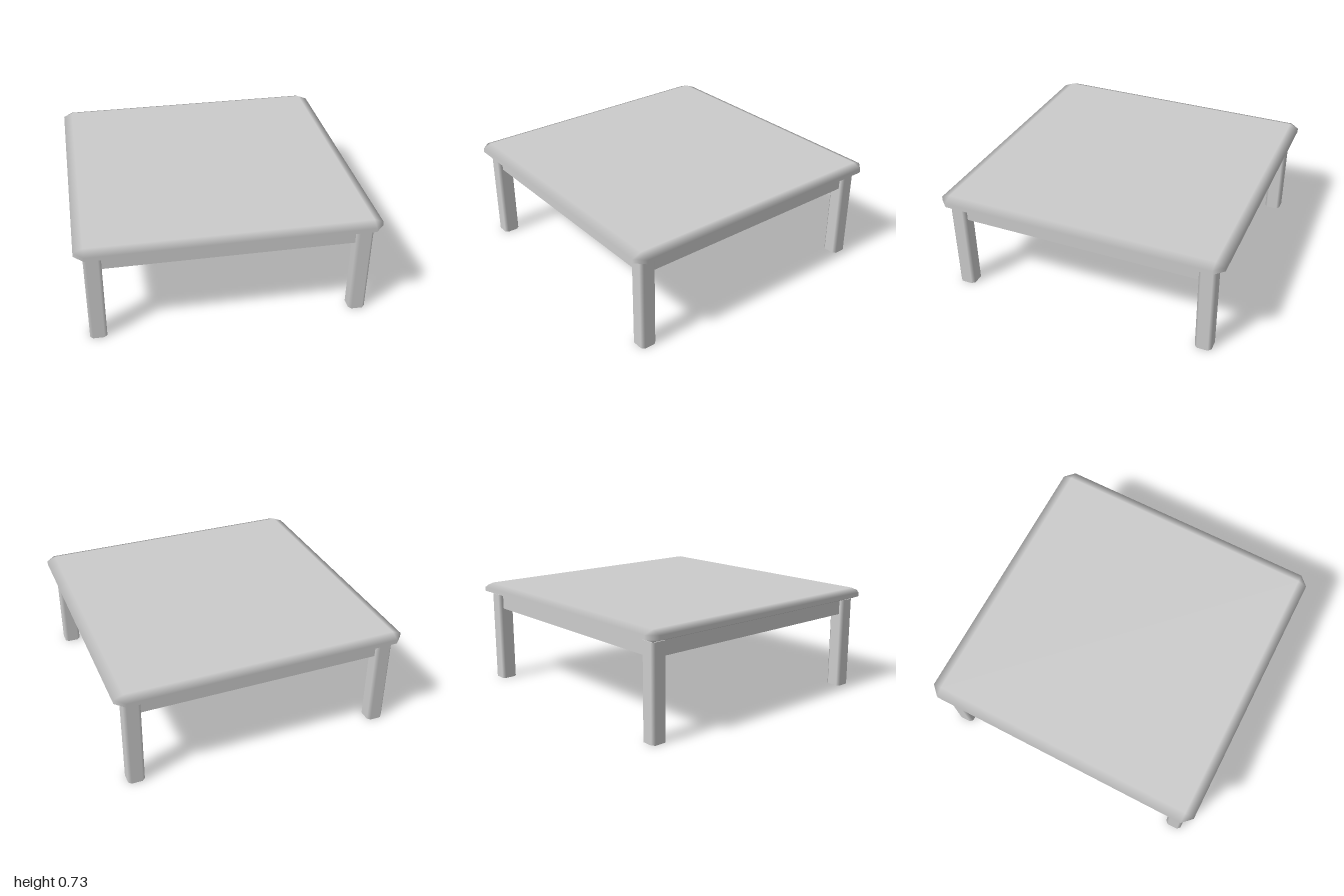
import * as THREE from 'three';
import { ConvexGeometry } from 'three/addons/geometries/ConvexGeometry.js';

// Box with one-step bevels: main faces stay flat, bevels blend between them.
// b is the bevel across x and z, by the bevel along y (0 = sharp ends).
function beveledBox(w, h, d, b, by) {
  const half = new THREE.Vector3(w / 2, h / 2, d / 2);
  const points = [];
  for (const sx of [-1, 1]) for (const sy of [-1, 1]) for (const sz of [-1, 1]) {
    const add = (x, y, z) => points.push(new THREE.Vector3(sx * x, sy * y, sz * z));
    add(half.x, half.y - by, half.z - b);
    add(half.x - b, half.y - by, half.z);
    if (by > 0) add(half.x - b, half.y, half.z - b);
  }
  const geo = new ConvexGeometry(points);
  const pos = geo.attributes.position, nor = geo.attributes.normal;
  const p = new THREE.Vector3(), n = new THREE.Vector3();
  for (let i = 0; i < pos.count; i++) {
    n.fromBufferAttribute(nor, i);
    if (Math.max(Math.abs(n.x), Math.abs(n.y), Math.abs(n.z)) > 0.999) continue;
    p.fromBufferAttribute(pos, i);
    const axis = ['x', 'z', 'y'].find(a => Math.abs(Math.abs(p[a]) - half[a]) < 1e-5);
    n.set(0, 0, 0)[axis] = Math.sign(p[axis]);
    nor.setXYZ(i, n.x, n.y, n.z);
  }
  return geo;
}

export function createModel() {
  const group = new THREE.Group();
  const material = new THREE.MeshStandardMaterial({ color: 0xcccccc });
  const thin = new THREE.MeshStandardMaterial({ color: 0xcccccc, side: THREE.DoubleSide });
  const add = (name, geometry, mat, x, y, z) => {
    const mesh = new THREE.Mesh(geometry, mat);
    mesh.name = name;
    mesh.position.set(x, y, z);
    group.add(mesh);
    return mesh;
  };
  const underside = 0.645, topY = 0.725;

  // Tabletop
  add('tabletop', beveledBox(2, topY - underside, 2, 0.065, 0.026), material, 0, (topY + underside) / 2, 0);

  // Four chamfered legs
  const legGeo = beveledBox(0.114, underside, 0.114, 0.02, 0);
  for (const [side, x] of [['Left', 1], ['Right', -1]]) {
    for (const [end, z] of [['front', 1], ['back', -1]]) {
      add(`${end}${side}Leg`, legGeo, material, x * 0.887, underside / 2, z * 0.887);
    }
  }

  // Thin apron panels between the legs
  const apronHeight = 0.105, inset = 0.915;
  const apronGeo = new THREE.PlaneGeometry(1.7, apronHeight);
  ['front', 'left', 'back', 'right'].forEach((side, i) => {
    const a = i * Math.PI / 2;
    add(`${side}Apron`, apronGeo, thin, Math.sin(a) * inset, underside - apronHeight / 2, Math.cos(a) * inset)
      .rotation.y = a;
  });

  return group;
}
